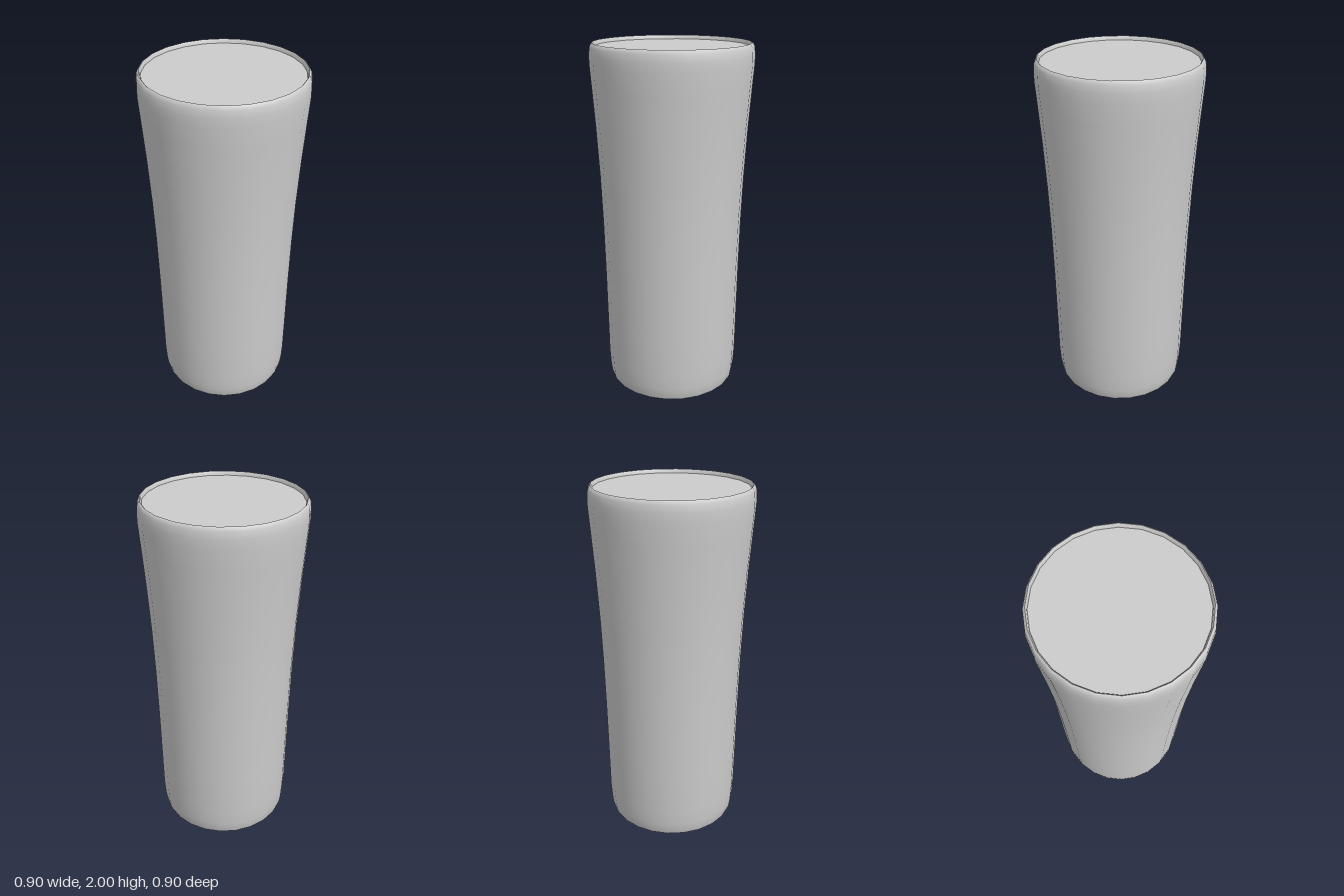
import * as THREE from 'three';
import { toCreasedNormals } from 'three/addons/utils/BufferGeometryUtils.js';

const SIDES = 24;

// Revolve [radius, height] pairs, keeping sharp edges where the profile turns hard
function turned(name, profile, material) {
  const points = profile.map(([r, y]) => new THREE.Vector2(r, y));
  const geometry = toCreasedNormals(new THREE.LatheGeometry(points, SIDES), 0.8);
  const mesh = new THREE.Mesh(geometry, material);
  mesh.name = name;
  return mesh;
}

export function createModel() {
  const group = new THREE.Group();
  group.name = 'tumbler';
  const grey = new THREE.MeshStandardMaterial({ color: 0xcccccc, side: THREE.DoubleSide });

  // Flared wall: flat base, up the outside, over the rounded lip, down the inside
  group.add(turned('glass', [
    [0, 0], [0.37, 0], [0.376, 0.015], [0.383, 0.07], [0.388, 0.16],
    [0.391, 0.4], [0.395, 0.7], [0.401, 1.0], [0.41, 1.26], [0.425, 1.54],
    [0.441, 1.77], [0.45, 1.89], [0.45, 1.94], [0.446, 1.98], [0.438, 1.997],
    [0.432, 2.0], [0.426, 1.993], [0.422, 1.97], [0.42, 1.9], [0.4, 1.54],
    [0.375, 1.0], [0.365, 0.4], [0.355, 0.08], [0, 0.06],
  ], grey));

  // Flat surface of the contents, just below the lip
  const surface = new THREE.Mesh(new THREE.CircleGeometry(0.424, SIDES), grey);
  surface.name = 'liquidSurface';
  surface.rotation.x = -Math.PI / 2;
  surface.position.y = 1.978;
  group.add(surface);

  return group;
}
